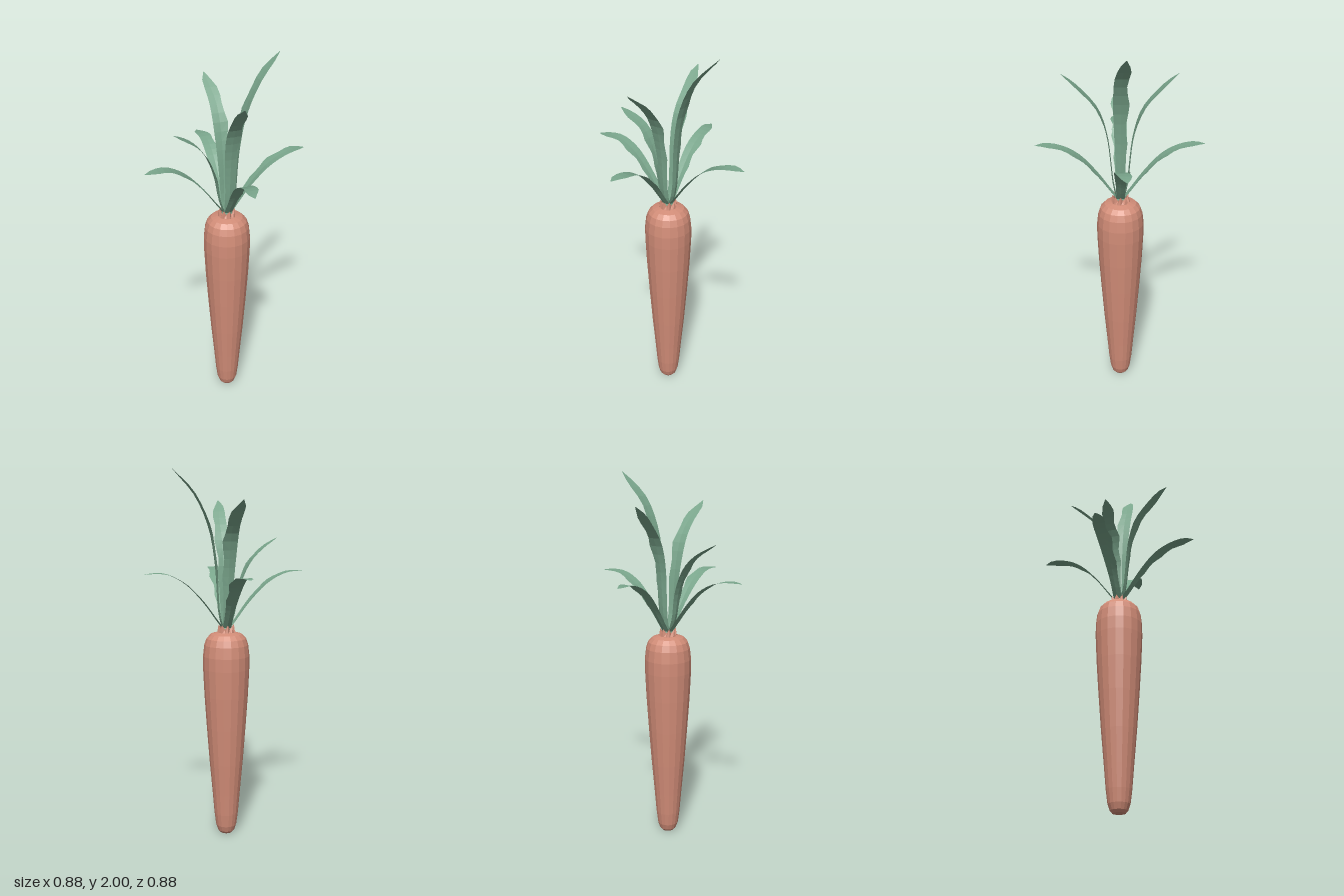
import * as THREE from 'three';

const orange = new THREE.MeshStandardMaterial({ color: 0xd28d78, flatShading: true });
orange.name = 'carrotOrange';
const green = new THREE.MeshStandardMaterial({ color: 0x7aa68c, flatShading: true, side: THREE.DoubleSide });
green.name = 'leafGreen';

function addMesh(parent, name, geometry, material) {
  const mesh = new THREE.Mesh(geometry, material);
  mesh.name = name;
  parent.add(mesh);
  return mesh;
}

// Surface strip from rows of cross-section points
function loft(rows) {
  const n = rows[0].length, index = [];
  for (let i = 0; i < rows.length - 1; i++) {
    for (let j = 0; j < n - 1; j++) {
      const a = i * n + j, b = a + n;
      index.push(a, a + 1, b, a + 1, b + 1, b);
    }
  }
  const geometry = new THREE.BufferGeometry();
  geometry.setAttribute('position', new THREE.Float32BufferAttribute(rows.flat(2), 3));
  geometry.setIndex(index);
  geometry.computeVertexNormals();
  return geometry;
}

// Leaf growing along +z: path of [outward, height], one wavy edge (side), tip bent sideways
function leafGeometry(path, side, tipShift) {
  const curve = new THREE.CatmullRomCurve3(path.map(([r, y]) => new THREE.Vector3(0, y, r)));
  const steps = 16, rows = [];
  for (let i = 0; i <= steps; i++) {
    const t = i / steps;
    const p = curve.getPointAt(t), d = curve.getTangentAt(t);
    const grow = 0.021 + 0.016 * THREE.MathUtils.smoothstep(t, 0.1, 0.65);
    const half = grow * Math.pow(Math.max(0, 1 - Math.pow(t, 9)), 0.6) + 0.002;
    const wave = t > 0.35 ? [0.75, 0.95, 1.1, 0.85][i % 4] : 1;
    const shift = tipShift * THREE.MathUtils.smoothstep(t, 0.75, 1);
    const fold = 0.006 * (1 - t);
    const edge = (s) => [s * half * (s === side ? wave : 1) + shift, p.y + fold * d.z, p.z - fold * d.y];
    rows.push([edge(-1), [shift, p.y, p.z], edge(1)]);
  }
  return loft(rows);
}

export function createModel() {
  const model = new THREE.Group();
  model.name = 'carrot';

  // Tapering root
  const profile = [
    [0, 0], [0.034, 0.004], [0.046, 0.018], [0.057, 0.05], [0.066, 0.12], [0.076, 0.24],
    [0.092, 0.42], [0.107, 0.62], [0.119, 0.8], [0.126, 0.95], [0.126, 1.02],
    [0.119, 1.08], [0.107, 1.115], [0.085, 1.138], [0.05, 1.148], [0, 1.148],
  ].map(([r, y]) => new THREE.Vector2(r, y));
  addMesh(model, 'root', new THREE.LatheGeometry(profile, 18), orange);

  // Jagged crown around the leaf bases
  const crown = new THREE.CylinderGeometry(0.042, 0.05, 0.05, 16, 1, true);
  const pos = crown.attributes.position;
  for (let i = 0; i < pos.count; i++) {
    if (pos.getY(i) > 0 && (i % 17) % 2) {
      pos.setXYZ(i, pos.getX(i) * 0.8, pos.getY(i) - 0.024, pos.getZ(i) * 0.8);
    }
  }
  crown.translate(0, 1.165, 0);
  const crownSkin = orange.clone();
  crownSkin.name = 'crownOrange';
  crownSkin.side = THREE.DoubleSide;
  addMesh(model, 'crown', crown, crownSkin);

  // Green heart where the leaves meet
  const heart = addMesh(model, 'leafHeart', new THREE.CylinderGeometry(0.024, 0.034, 0.04, 8), green);
  heart.position.y = 1.165;

  // Low arching leaf and the three upright leaf curves
  const low = [[0.02, 1.165], [0.06, 1.22], [0.125, 1.31], [0.22, 1.41], [0.31, 1.46], [0.38, 1.471], [0.44, 1.466]];
  const middle = [[0.02, 1.165], [0.045, 1.24], [0.07, 1.39], [0.125, 1.52], [0.19, 1.59], [0.285, 1.65]];
  const high = [[0.02, 1.165], [0.038, 1.24], [0.07, 1.52], [0.115, 1.66], [0.2, 1.765], [0.295, 1.845]];
  const top = [[0.02, 1.165], [0.042, 1.24], [0.06, 1.52], [0.09, 1.7], [0.165, 1.87], [0.285, 2]];

  // One low and one upright leaf in each direction
  const directions = [
    { name: 'front', angle: 0, upright: high, side: 1, tip: -0.02 },
    { name: 'left', angle: Math.PI / 2, upright: top, side: 1, tip: 0.02 },
    { name: 'back', angle: Math.PI, upright: high, side: -1, tip: 0.02 },
    { name: 'right', angle: -Math.PI / 2, upright: middle, side: 1, tip: 0.02 },
  ];
  for (const { name, angle, upright, side, tip } of directions) {
    addMesh(model, name + 'LowLeaf', leafGeometry(low, side, tip), green).rotation.y = angle;
    addMesh(model, name + 'UprightLeaf', leafGeometry(upright, side, tip), green).rotation.y = angle;
  }
  return model;
}
